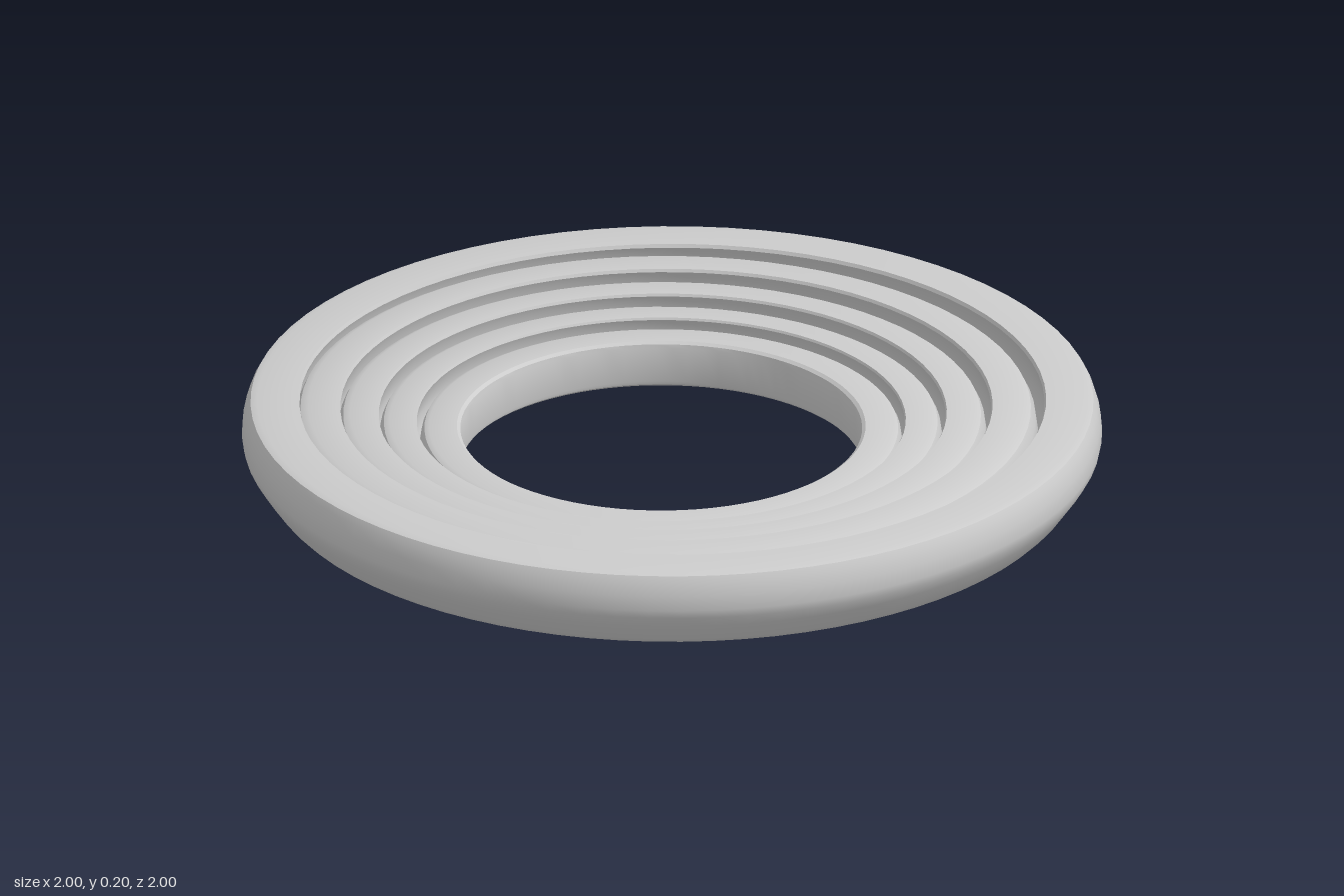
import * as THREE from 'three';
import { toCreasedNormals } from 'three/addons/utils/BufferGeometryUtils.js';

const H = 0.2; // height of the outer ring
const MID = 0.098; // level about which the inner rings get thinner
const material = new THREE.MeshStandardMaterial({ color: 0xcccccc });

// Wall profiles: [change of radius, y at full height]
// Outer walls are listed upwards, inner walls downwards.
const rimWall = [[-0.085, 0], [-0.068, 0.006], [-0.054, 0.02], [-0.022, 0.065], [-0.004, 0.095],
  [0, 0.115], [-0.003, 0.15], [-0.012, 0.18], [-0.02, 0.195], [-0.035, H]];
const bulgeWall = [[-0.06, 0], [-0.05, 0.006], [-0.04, 0.02], [-0.012, 0.07],
  [0, 0.11], [-0.008, 0.165], [-0.02, 0.19], [-0.04, H]];
const hollowWall = [[-0.018, H], [-0.022, 0.192], [-0.015, 0.175], [0, 0.11],
  [-0.012, 0.07], [-0.034, 0.02], [-0.034, 0.008], [-0.024, 0]];
const holeWall = [[0.018, H], [0.004, 0.19], [0, 0.175], [0, 0.025], [0.004, 0.01], [0.015, 0]];

function ring(name, outer, inner, x, z, thin, outerWall, innerWall) {
  const place = (radius, wall) => wall.map(
    ([d, y]) => new THREE.Vector2(radius + d * thin, MID + (y - MID) * thin));
  const points = [...place(outer, outerWall), ...place(inner, innerWall)];
  points.push(points[0].clone());
  const geometry = toCreasedNormals(new THREE.LatheGeometry(points, 80), 0.55);
  const mesh = new THREE.Mesh(geometry, material);
  mesh.name = name;
  mesh.position.set(x, 0, z);
  return mesh;
}

export function createModel() {
  const group = new THREE.Group();
  group.name = 'nestedRings';
  // Loose nested rings, each thinner than the last and slightly off centre:
  // name, widest outer radius, inner radius, x, z, thickness factor, walls
  group.add(
    ring('outerRing', 1, 0.888, 0, 0, 1, rimWall, hollowWall),
    ring('secondRing', 0.867, 0.776, -0.015, 0.003, 0.89, bulgeWall, hollowWall),
    ring('thirdRing', 0.757, 0.676, -0.025, 0.018, 0.78, bulgeWall, hollowWall),
    ring('fourthRing', 0.657, 0.582, -0.03, 0.035, 0.67, bulgeWall, hollowWall),
    ring('centreRing', 0.562, 0.465, -0.03, 0.047, 0.565, bulgeWall, holeWall),
  );
  return group;
}
